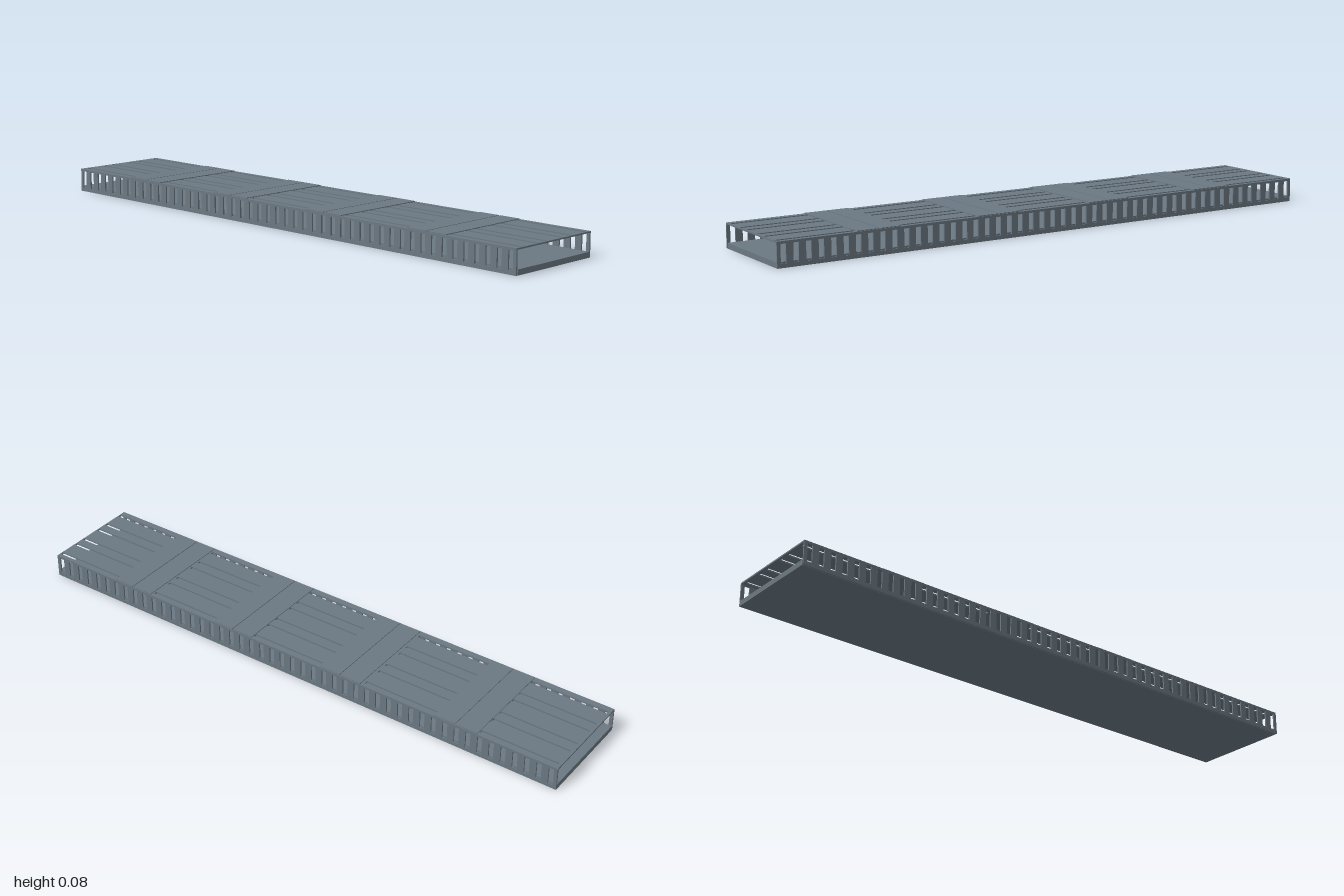
import * as THREE from 'three';

const material = new THREE.MeshStandardMaterial({ color: 0x6b7882, flatShading: true });
const W = 0.178; // half width of the channel

function addRect(path, x, y, w, h) {
  path.moveTo(x - w / 2, y - h / 2);
  path.lineTo(x + w / 2, y - h / 2);
  path.lineTo(x + w / 2, y + h / 2);
  path.lineTo(x - w / 2, y + h / 2);
  path.closePath();
  return path;
}

// Flat plate with rectangular holes given as [x, y, w, h]
function slottedPlate(rect, holes, depth) {
  const shape = addRect(new THREE.Shape(), ...rect);
  for (const hole of holes) shape.holes.push(addRect(new THREE.Path(), ...hole));
  return new THREE.ExtrudeGeometry(shape, { depth, bevelEnabled: false });
}

export function createModel() {
  const model = new THREE.Group();
  const add = (name, geometry, x = 0, y = 0, z = 0) => {
    const mesh = new THREE.Mesh(geometry, material);
    mesh.name = name;
    mesh.position.set(x, y, z);
    model.add(mesh);
    return mesh;
  };

  // Solid tray floor
  add('floor', new THREE.BoxGeometry(2, 0.018, 0.345), 0, 0.009, -0.002);

  // Side walls pierced by a row of upright slots
  const count = 48, pitch = 2 / count;
  const wallSlots = [];
  for (let i = 0; i < count; i++) wallSlots.push([-1 + (i + 0.5) * pitch, 0.043, 0.018, 0.06]);
  const wall = slottedPlate([0, 0.04, 2, 0.08], wallSlots, 0.005);
  add('leftWall', wall, 0, 0, W - 0.005).name = 'frontWall';
  add('backWall', wall, 0, 0, -W);

  // Cover with five panels of long slots
  const coverSlots = [];
  for (const x of [-0.855, -0.43, 0.01, 0.435, 0.86]) {
    for (const z of [-0.157, -0.085, -0.042, 0.034, 0.077, 0.15]) {
      coverSlots.push([x, -z, 0.27, 0.012]);
    }
  }
  const cover = add('cover', slottedPlate([0, 0, 2, 2 * W], coverSlots, 0.005), 0, 0.076, 0);
  cover.rotation.x = -Math.PI / 2;

  // Raised cross straps between the panels, each split by a fine groove
  for (const x of [-0.64, -0.207, 0.225, 0.655]) {
    for (const side of [-1, 1]) {
      add('crossStrap', new THREE.BoxGeometry(0.076, 0.003, 2 * W - 0.006), x + side * 0.04, 0.082, 0);
    }
  }
  return model;
}
